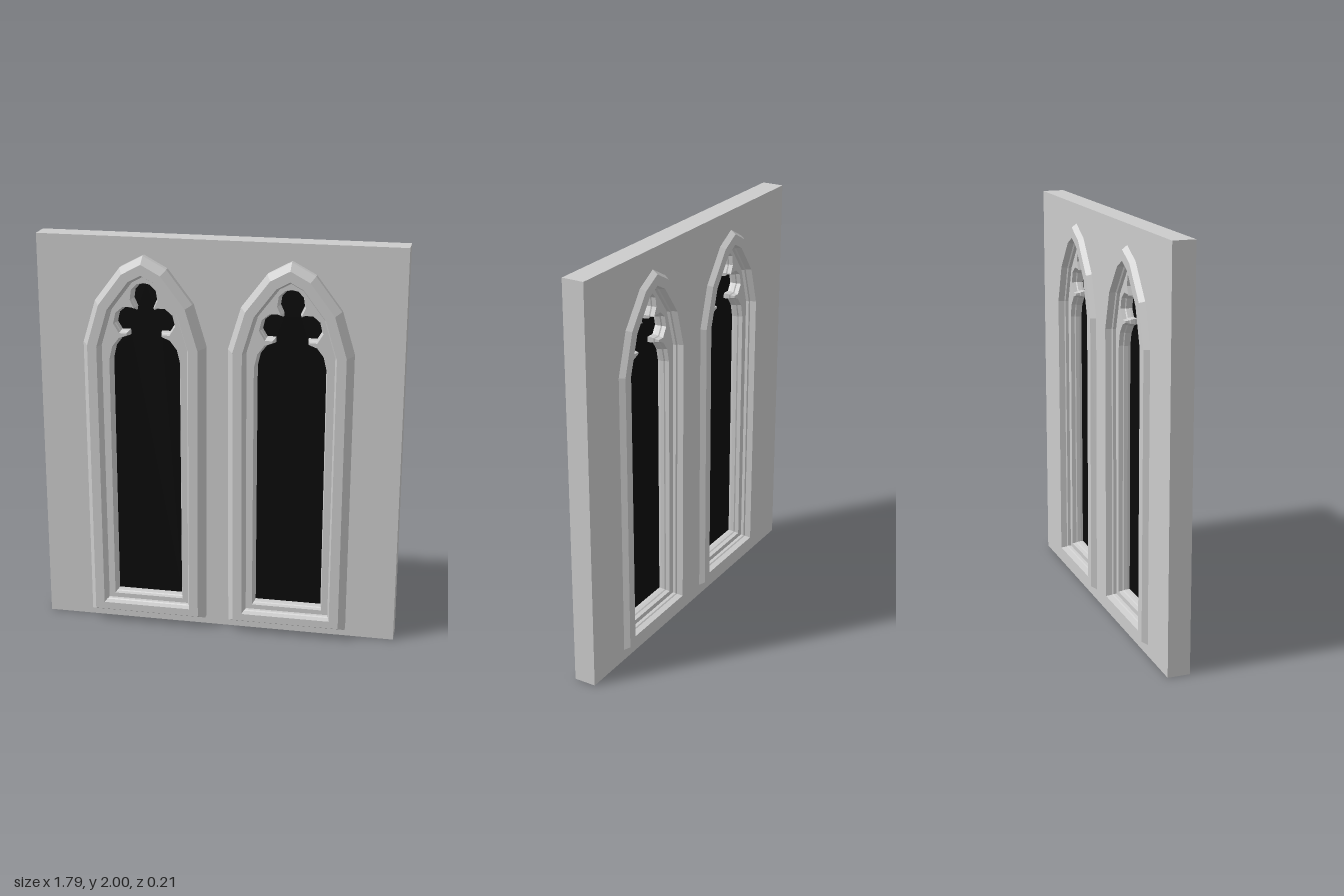
import * as THREE from 'three';

const stone = new THREE.MeshStandardMaterial({ color: 0xcccccc, flatShading: true });
const dark = new THREE.MeshStandardMaterial({ color: 0x0a0a0a, side: THREE.DoubleSide });

// Half outlines (right side, bottom to apex), relative to the window axis
const ARCH = [[0.298, 0.045], [0.303, 1.48], [0.24, 1.69], [0.115, 1.855], [0, 1.917]];
const OPENING = [
  [0.167, 0.15], [0.167, 1.392], [0.152, 1.456], [0.12, 1.498], [0.078, 1.514],
  [0.078, 1.54], [0.12, 1.54], [0.143, 1.578], [0.132, 1.625], [0.1, 1.652],
  [0.063, 1.652], [0.042, 1.642], [0.04, 1.66], [0.058, 1.7], [0.052, 1.742],
  [0.027, 1.768], [0, 1.774],
];

// Mirror a half outline into a counter-clockwise loop
function mirrorLoop(half) {
  const right = half.map(([x, y]) => new THREE.Vector2(x, y));
  const left = half.filter(([x]) => x > 0).map(([x, y]) => new THREE.Vector2(-x, y)).reverse();
  return [...right, ...left];
}

// Move every edge of a loop inwards by d (outwards when negative)
function inset(loop, d) {
  const n = loop.length;
  const normal = (a, b) => new THREE.Vector2(a.y - b.y, b.x - a.x).normalize();
  return loop.map((p, i) => {
    const n1 = normal(loop[(i + n - 1) % n], p);
    const n2 = normal(p, loop[(i + 1) % n]);
    const scale = d / (1 + n1.dot(n2));
    return n1.add(n2).multiplyScalar(scale).add(p);
  });
}

// Pointed arch, with a slightly narrower margin along the sill
function arch(d) {
  const loop = inset(mirrorLoop(ARCH), d);
  loop[0].y = loop[loop.length - 1].y = 0.045 + 0.8 * d;
  return loop;
}
const opening = (d) => inset(mirrorLoop(OPENING), -d);

// Skin a series of loops, each { loop, z }
function loft(rings) {
  const pos = [];
  const put = (r, j) => {
    const p = r.loop[j % r.loop.length];
    pos.push(p.x, p.y, r.z);
  };
  for (let i = 0; i < rings.length - 1; i++) {
    const a = rings[i], b = rings[i + 1];
    for (let j = 0; j < a.loop.length; j++) {
      put(a, j); put(a, j + 1); put(b, j + 1);
      put(a, j); put(b, j + 1); put(b, j);
    }
  }
  const geo = new THREE.BufferGeometry();
  geo.setAttribute('position', new THREE.Float32BufferAttribute(pos, 3));
  geo.computeVertexNormals();
  return geo;
}

function add(parent, name, geo, material = stone) {
  const mesh = new THREE.Mesh(geo, material);
  mesh.name = name;
  parent.add(mesh);
  return mesh;
}

function makeWindow(name) {
  const g = new THREE.Group();
  g.name = name;

  // Chamfered surround, the same on both sides of the wall
  const front = [[0, 0.06], [0.03, 0.105], [0.076, 0.105], [0.082, 0.075], [0.088, 0.07], [0.092, 0.03]];
  const back = front.map(([d, z]) => [d, -z]).reverse();
  add(g, 'surround', loft([...back, ...front].map(([d, z]) => ({ loop: arch(d), z }))));

  // Stepped reveal around the cusped opening
  const reveal = [[0.01, 0.055], [0.007, 0.035], [0.003, 0.03], [0, 0.012]];
  const rear = reveal.map(([d, z]) => [d, -z]).reverse();
  add(g, 'traceryReveal', loft([...reveal, ...rear].map(([d, z]) => ({ loop: opening(d), z }))));

  // Flat tracery faces, front and back
  const face = new THREE.Shape(arch(0.086));
  face.holes.push(new THREE.Path(opening(0.01)));
  const faceGeo = new THREE.ShapeGeometry(face);
  add(g, 'traceryFront', faceGeo).position.z = 0.055;
  const rearFace = add(g, 'traceryBack', faceGeo);
  rearFace.rotation.y = Math.PI;
  rearFace.position.z = -0.055;

  // Dark pane
  add(g, 'pane', new THREE.ShapeGeometry(new THREE.Shape(opening(0))), dark);
  return g;
}

export function createModel() {
  const model = new THREE.Group();
  model.name = 'windowWall';
  const centres = { rightWindow: -0.362, leftWindow: 0.354 };

  // Wall slab pierced behind each surround
  const wall = new THREE.Shape([[-0.895, 0], [0.895, 0], [0.895, 2], [-0.895, 2]].map((p) => new THREE.Vector2(...p)));
  for (const [name, x] of Object.entries(centres)) {
    const hole = arch(0.04).map((p) => new THREE.Vector2(p.x + x, p.y));
    wall.holes.push(new THREE.Path(hole));
    const w = makeWindow(name);
    w.position.x = x;
    model.add(w);
  }
  const slab = new THREE.ExtrudeGeometry(wall, { depth: 0.11, bevelEnabled: false });
  add(model, 'wall', slab.translate(0, 0, -0.08));
  return model;
}
